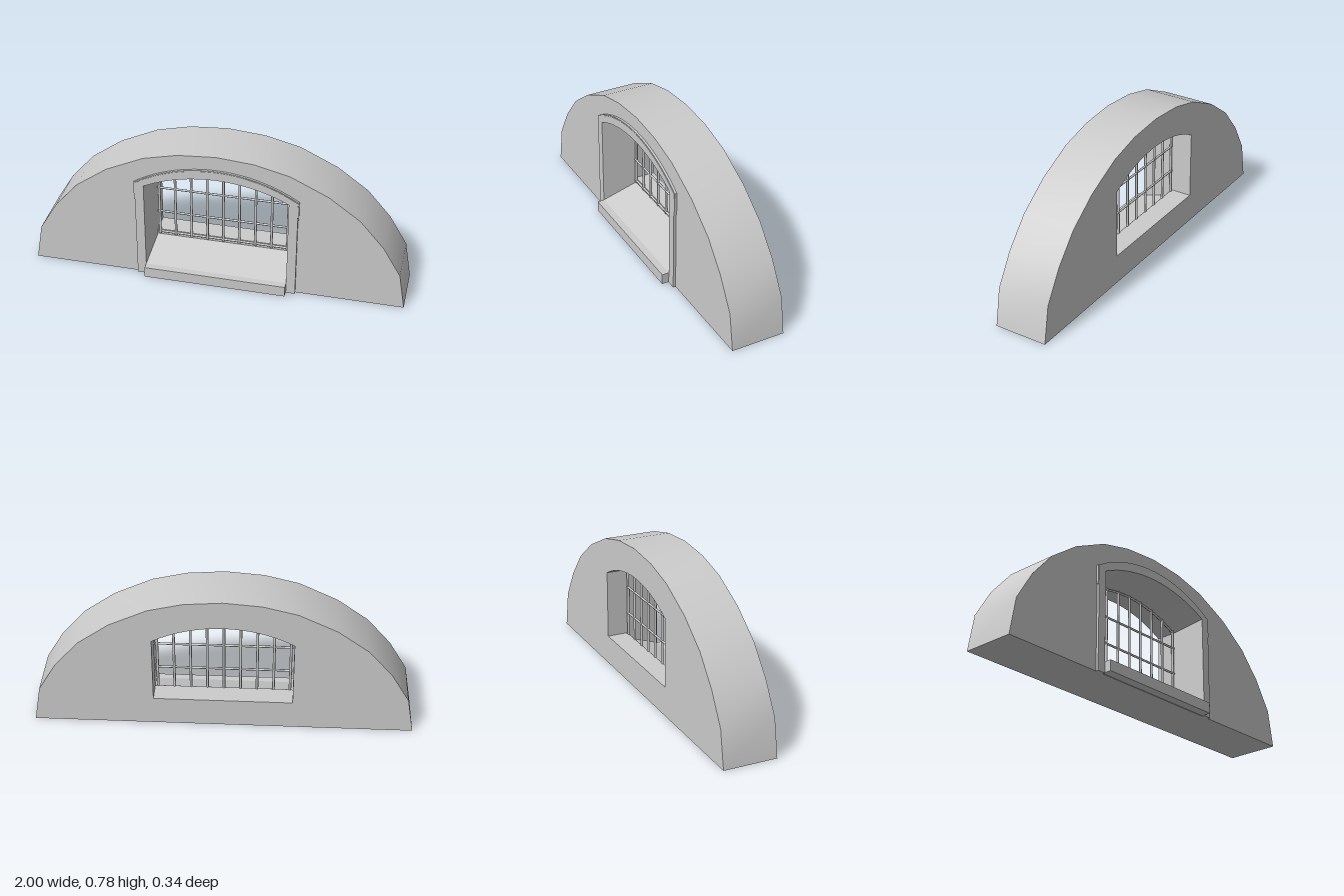
import * as THREE from 'three';
import { toCreasedNormals } from 'three/addons/utils/BufferGeometryUtils.js';

const BACK = -0.17, FRONT = 0.118, TRIM = 0.132, STEP = -0.06;
const material = new THREE.MeshStandardMaterial({ color: 0xcccccc });

// Height of a segmental arch at x
function archY(x, half, spring, crown) {
  const rise = crown - spring;
  const r = (half * half + rise * rise) / (2 * rise);
  return crown - r + Math.sqrt(r * r - x * x);
}

// Arch points from right (+x) to left
function archPoints(half, spring, crown, n = 16) {
  return Array.from({ length: n + 1 }, (_, i) => {
    const x = half * (1 - (2 * i) / n);
    return new THREE.Vector2(x, archY(x, half, spring, crown));
  });
}

// Counter-clockwise outline of an arched opening
function opening(half, bottom, spring, crown) {
  return [new THREE.Vector2(-half, bottom), new THREE.Vector2(half, bottom),
    ...archPoints(half, spring, crown)];
}

// Closed band of faces between two outlines; swap them to turn it inside out
function strip(a, za, b, zb) {
  const pos = [];
  a.forEach((p, i) => {
    const j = (i + 1) % a.length;
    const A = [p.x, p.y, za], B = [b[i].x, b[i].y, zb];
    const C = [b[j].x, b[j].y, zb], D = [a[j].x, a[j].y, za];
    pos.push(...A, ...B, ...C, ...A, ...C, ...D);
  });
  const g = new THREE.BufferGeometry();
  g.setAttribute('position', new THREE.Float32BufferAttribute(pos, 3));
  return toCreasedNormals(g, 0.5);
}

// Flat wall face with a hole
function face(outer, hole, z, flip) {
  const s = new THREE.Shape(outer);
  s.holes.push(new THREE.Path(hole));
  const g = new THREE.ShapeGeometry(s);
  if (flip) g.rotateY(Math.PI); // outlines are symmetric
  return g.translate(0, 0, z);
}

// Arched surround, open at the bottom
function surround(o, i, bottom, z0, z1) {
  const pts = [new THREE.Vector2(o[0], bottom), ...archPoints(...o), new THREE.Vector2(-o[0], bottom),
    new THREE.Vector2(-i[0], bottom), ...archPoints(...i).reverse(), new THREE.Vector2(i[0], bottom)];
  const g = new THREE.ExtrudeGeometry(new THREE.Shape(pts), { depth: z1 - z0, bevelEnabled: false });
  return toCreasedNormals(g.translate(0, 0, z0), 0.5);
}

export function createModel() {
  const model = new THREE.Group();
  const add = (name, geometry, parent = model) => {
    const m = new THREE.Mesh(geometry, material);
    m.name = name;
    parent.add(m);
    return m;
  };

  // Wall with a half-round outline
  const half = [[1, 0], [0.965, 0.2], [0.87, 0.36], [0.745, 0.505], [0.58, 0.625], [0.38, 0.72], [0.2, 0.764]];
  const outline = [...half, [0, 0.78], ...half.slice().reverse().map(([x, y]) => [-x, y])]
    .map(([x, y]) => new THREE.Vector2(x, y));
  const frontHole = opening(0.38, 0.062, 0.56, 0.65);
  const splayEnd = opening(0.365, 0.13, 0.53, 0.623);
  const backHole = opening(0.365, 0.16, 0.53, 0.623);
  const wall = new THREE.Group();
  wall.name = 'wall';
  model.add(wall);
  add('wallFront', face(outline, frontHole, FRONT, false), wall);
  add('wallBack', face(outline, backHole, BACK, true), wall);
  add('wallEdge', strip(outline, FRONT, outline, BACK), wall);

  // Splayed front reveal with sloping sill, straight rear reveal, step between
  add('splayedReveal', strip(splayEnd, STEP, frontHole, TRIM), wall);
  add('rearReveal', strip(backHole, BACK, backHole, STEP), wall);
  add('sillStep', new THREE.PlaneGeometry(0.73, 0.03).translate(0, 0.145, STEP), wall);

  // Raised surround, thin hood moulding and projecting sill
  add('surround', surround([0.428, 0.572, 0.697], [0.38, 0.56, 0.65], 0, FRONT, TRIM));
  add('hoodMoulding', surround([0.433, 0.575, 0.702], [0.427, 0.571, 0.696], 0.47, FRONT, 0.13));
  add('sill', new THREE.BoxGeometry(0.76, 0.059, 0.07).translate(0, 0.0325, 0.135));

  // Window grille
  const grille = new THREE.Group();
  grille.name = 'grille';
  grille.position.z = -0.055;
  model.add(grille);
  for (let i = -4; i <= 4; i++) {
    const x = i * 0.0873;
    const top = archY(x, 0.365, 0.53, 0.62);
    add('verticalBar', new THREE.CylinderGeometry(0.007, 0.007, top - 0.14, 8), grille)
      .position.set(x, (top + 0.14) / 2, 0);
  }
  for (const y of [0.152, 0.285, 0.435]) {
    add('horizontalBar', new THREE.CylinderGeometry(0.006, 0.006, 0.72, 8).rotateZ(Math.PI / 2), grille)
      .position.y = y;
  }
  const curve = new THREE.CatmullRomCurve3(
    archPoints(0.355, 0.525, 0.614).map(p => new THREE.Vector3(p.x, p.y, 0)));
  add('archedBar', new THREE.TubeGeometry(curve, 24, 0.006, 8), grille);

  return model;
}
